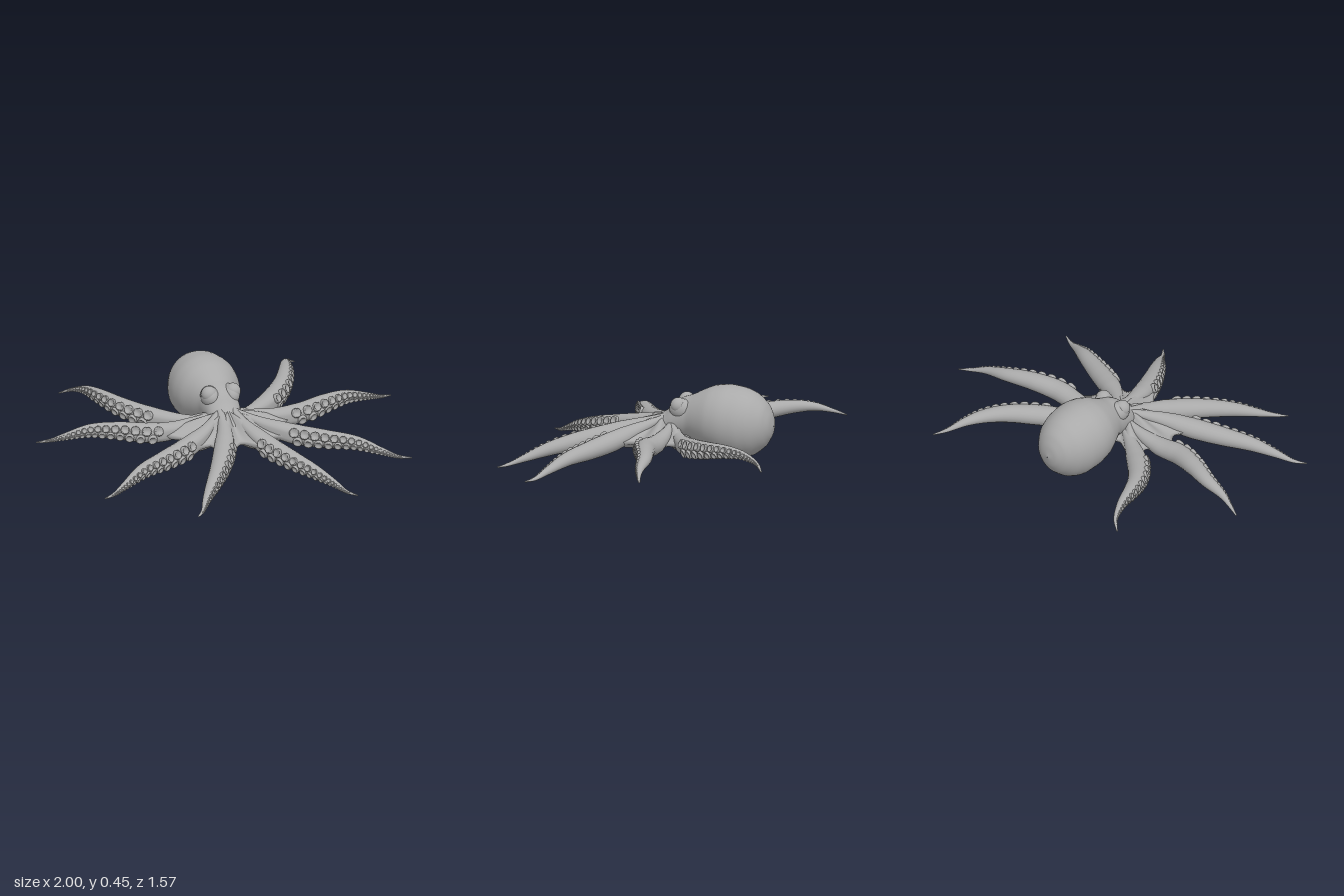
import * as THREE from 'three';
import { mergeGeometries } from 'three/addons/utils/BufferGeometryUtils.js';

const skin = new THREE.MeshStandardMaterial({ color: 0xaaaaaa });
skin.name = 'grey skin';
const V = (x, y, z) => new THREE.Vector3(x, y, z);

// Skin a list of closed rings (arrays of Vector3) into one smooth surface
function loft(rings, flip) {
  const n = rings[0].length, index = [];
  for (let i = 0; i < rings.length - 1; i++) {
    for (let j = 0; j < n; j++) {
      const a = i * n + j, b = i * n + (j + 1) % n, c = a + n, d = b + n;
      if (flip) index.push(a, b, c, b, d, c);
      else index.push(a, c, b, b, c, d);
    }
  }
  const g = new THREE.BufferGeometry().setFromPoints(rings.flat());
  g.setIndex(index);
  g.computeVertexNormals();
  return g;
}

function mesh(geometry, name) {
  const m = new THREE.Mesh(geometry, skin);
  m.name = name;
  return m;
}

// Linear sample of evenly spaced values
function sample(list, t) {
  const f = Math.min(t, 0.9999) * (list.length - 1), i = Math.floor(f);
  return list[i] + (list[i + 1] - list[i]) * (f - i);
}

// Mantle and head: [z, centre y, half width, half height]
function mantleGeometry() {
  const sections = [
    [-0.612, 0.245, 0.002, 0.002], [-0.6, 0.248, 0.055, 0.06], [-0.57, 0.25, 0.103, 0.115],
    [-0.51, 0.25, 0.15, 0.165], [-0.44, 0.252, 0.175, 0.189], [-0.36, 0.26, 0.183, 0.19],
    [-0.28, 0.265, 0.171, 0.174], [-0.21, 0.265, 0.138, 0.143], [-0.15, 0.262, 0.108, 0.115],
    [-0.1, 0.25, 0.1, 0.11], [-0.06, 0.235, 0.094, 0.1], [-0.02, 0.215, 0.085, 0.075],
    [0.04, 0.19, 0.075, 0.062], [0.1, 0.175, 0.055, 0.045], [0.16, 0.165, 0.002, 0.002]];
  const centre = new THREE.CatmullRomCurve3(sections.map(s => V(0, s[1], s[0])));
  const size = new THREE.CatmullRomCurve3(sections.map(s => V(s[2], s[3], 0)));
  const rings = [];
  for (let i = 0; i <= 56; i++) {
    const c = centre.getPoint(i / 56), r = size.getPoint(i / 56), ring = [];
    for (let j = 0; j < 40; j++) {
      const a = j / 40 * Math.PI * 2;
      ring.push(V(r.x * Math.cos(a), c.y + r.y * Math.sin(a), c.z));
    }
    rings.push(ring);
  }
  return loft(rings, true);
}

// Web between the arms: scalloped rim, top sheet then ridged underside
function webGeometry() {
  // [angle from the front, radius], alternating valley and arm
  const rim = [[0, 0.23], [0.37, 0.34], [0.72, 0.27], [0.98, 0.37], [1.33, 0.29],
    [1.71, 0.36], [1.99, 0.285], [2.25, 0.32], [2.6, 0.19], [3.15, 0.14]];
  const rimAt = angle => {
    const a = Math.abs(angle);
    const i = rim.findIndex((p, k) => a <= rim[k + 1][0]);
    const t = (a - rim[i][0]) / (rim[i + 1][0] - rim[i][0]);
    const s = (1 - Math.cos(Math.PI * t)) / 2;
    return { r: rim[i][1] + (rim[i + 1][1] - rim[i][1]) * s, valley: i % 2 ? s : 1 - s };
  };
  const rings = [], steps = 14;
  for (let k = 0; k <= 2 * steps; k++) {
    const top = k <= steps, f = Math.max(0.01, 1 - Math.abs(k - steps) / steps), ring = [];
    for (let j = 0; j < 144; j++) {
      const a = (j / 144 - 0.5) * Math.PI * 2, { r, valley } = rimAt(a);
      const swell = Math.sin(Math.PI * f);
      const y = top
        ? 0.165 + 0.105 * Math.pow(1 - f, 1.3) + 0.02 * (1 - valley) * swell
        : 0.15 - 0.015 * (1 - f) - 0.035 * (1 - valley) * swell;
      ring.push(V(Math.sin(a) * r * f, y, Math.cos(a) * r * f));
    }
    rings.push(ring);
  }
  return loft(rings, false);
}

// Cup-shaped sucker of unit radius, opening along +y
const suckerProfile = [[1.02, -0.5], [1.05, 0.15], [0.95, 0.36], [0.74, 0.38], [0.52, 0.1], [0, 0.02]]
  .map(p => new THREE.Vector2(p[0], p[1]));

const armWidths = [0.016, 0.027, 0.041, 0.054, 0.059, 0.057, 0.052, 0.045, 0.036, 0.024, 0.012, 0.004];

function makeArm(points, sgn, name) {
  const arm = new THREE.Group();
  arm.name = name;
  const curve = new THREE.CatmullRomCurve3(points.map(p => V(p[0] * sgn, p[1], p[2])));
  // Local frame: side faces forward and carries the suckers
  const frame = t => {
    const c = curve.getPointAt(t), T = curve.getTangentAt(t);
    const side = V(-T.z * sgn, 0, T.x * sgn).normalize();
    const up = V(0, 1, 0).addScaledVector(T, -T.y).normalize();
    return { c, side, up, w: sample(armWidths, t) };
  };
  // Rounded section, flattened on the sucker side
  const offset = (f, a) => V(0, 0, 0)
    .addScaledVector(f.side, f.w * Math.min(Math.cos(a), 0.75 + 0.12 * Math.cos(a)))
    .addScaledVector(f.up, f.w * 0.9 * Math.sin(a));
  const rings = [];
  for (let i = 0; i <= 56; i++) {
    const f = frame(i / 56), ring = [];
    for (let j = 0; j < 20; j++) ring.push(offset(f, j / 20 * Math.PI * 2).add(f.c));
    rings.push(ring);
  }
  arm.add(mesh(loft(rings, sgn < 0), 'armBody'));

  // Two staggered rows of suckers, shrinking towards the tip
  const cups = [];
  [0.5, -0.42].forEach((angle, row) => {
    let t = 0.36 + row * 0.025;
    while (t < 0.95) {
      const f = frame(t), r = Math.max(0.004, f.w * 0.43);
      const normal = V(0, 0, 0).addScaledVector(f.side, Math.cos(angle * 0.8))
        .addScaledVector(f.up, Math.sin(angle * 0.8));
      const q = new THREE.Quaternion().setFromUnitVectors(V(0, 1, 0), normal);
      const place = new THREE.Matrix4().compose(offset(f, angle).add(f.c), q, V(r, r, r));
      cups.push(new THREE.LatheGeometry(suckerProfile, 14).applyMatrix4(place));
      t += r * 2.2 / curve.getLength();
    }
  });
  arm.add(mesh(mergeGeometries(cups), 'suckers'));
  return arm;
}

export function createModel() {
  const model = new THREE.Group();
  model.name = 'octopus';
  model.add(mesh(mantleGeometry(), 'mantle'), mesh(webGeometry(), 'web'));

  const arms = {
    FrontArm: [[0.035, 0.265, -0.03], [0.06, 0.208, 0.12], [0.12, 0.155, 0.28], [0.2, 0.12, 0.43],
      [0.28, 0.088, 0.55], [0.36, 0.046, 0.66], [0.405, 0.018, 0.73], [0.45, 0.008, 0.78]],
    FrontSideArm: [[0.04, 0.255, -0.02], [0.16, 0.203, 0.1], [0.3, 0.163, 0.19], [0.45, 0.142, 0.265],
      [0.6, 0.125, 0.335], [0.72, 0.085, 0.4], [0.8, 0.058, 0.44], [0.865, 0.055, 0.475]],
    BackSideArm: [[0.04, 0.235, -0.06], [0.17, 0.195, -0.065], [0.3, 0.17, -0.055], [0.43, 0.178, -0.05],
      [0.58, 0.195, -0.095], [0.72, 0.195, -0.145], [0.85, 0.172, -0.165], [0.93, 0.15, -0.19],
      [0.998, 0.137, -0.218]],
    BackArm: [[0.04, 0.215, -0.07], [0.15, 0.18, -0.13], [0.26, 0.17, -0.205], [0.37, 0.183, -0.3],
      [0.46, 0.205, -0.41], [0.52, 0.222, -0.53], [0.56, 0.222, -0.64], [0.605, 0.195, -0.735],
      [0.662, 0.165, -0.783]],
  };
  for (const [side, sgn] of [['left', 1], ['right', -1]]) {
    for (const [name, points] of Object.entries(arms)) model.add(makeArm(points, sgn, side + name));
    // Bulging eye blended into a low brow
    const eye = mesh(new THREE.SphereGeometry(0.042, 24, 16), side + 'Eye');
    eye.position.set(sgn * 0.067, 0.332, -0.1);
    const brow = mesh(new THREE.SphereGeometry(0.05, 24, 16), side + 'Brow');
    brow.position.set(sgn * 0.056, 0.31, -0.115);
    brow.scale.set(1, 1.12, 1.35);
    model.add(eye, brow);
  }
  return model;
}
